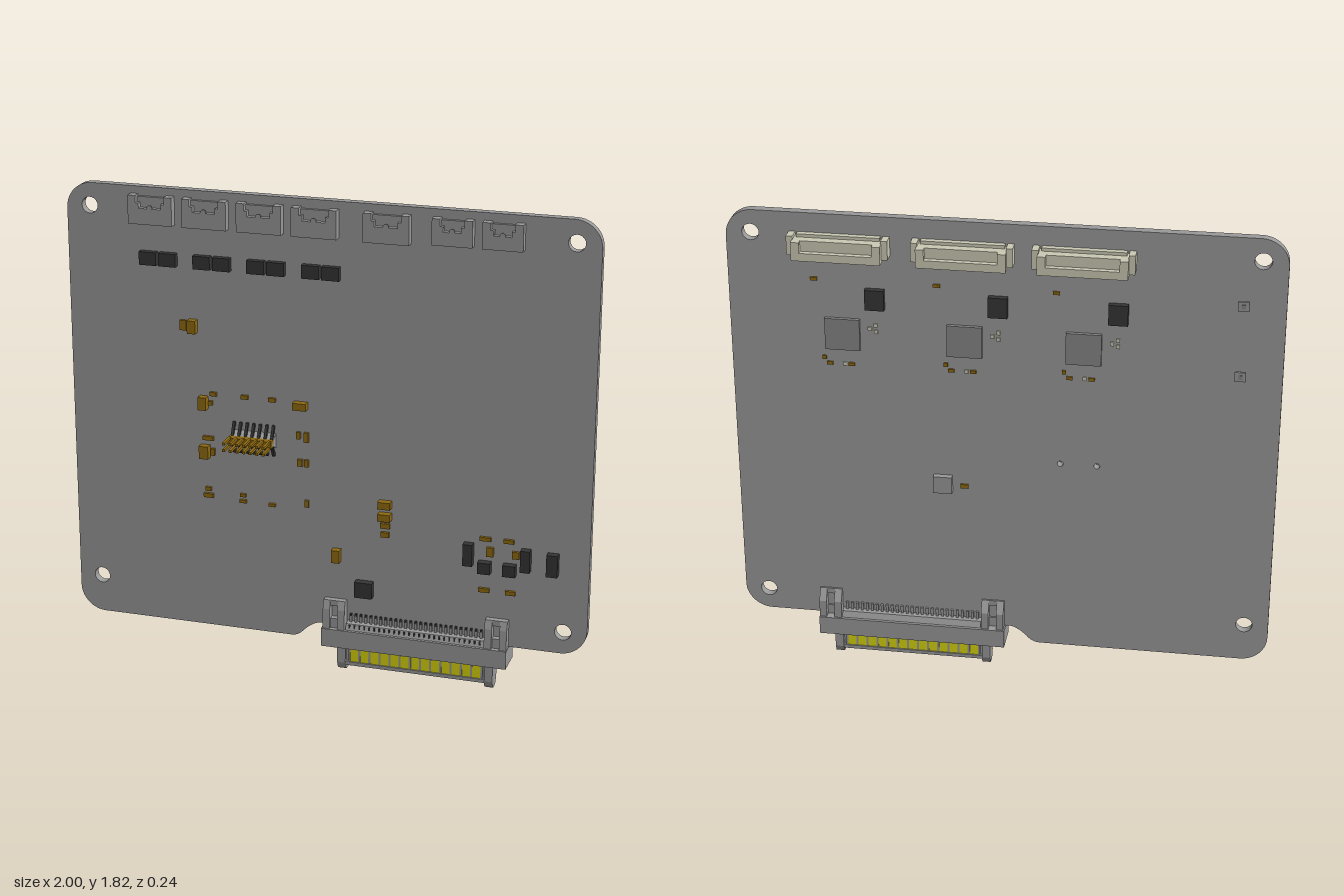
import * as THREE from 'three';

const mat = (name, color, side = THREE.FrontSide) => {
  const m = new THREE.MeshStandardMaterial({ color, side });
  m.name = name;
  return m;
};

export function createModel() {
  const grey = mat('board grey', 0x999999);
  const chipGrey = mat('chip grey', 0x868686);
  const dark = mat('dark plastic', 0x353535);
  const brown = mat('bronze', 0x8f6a10);
  const beige = mat('beige plastic', 0xcbc9b4);
  const yellow = mat('contact yellow', 0xd8d40c);
  const FRONT = -0.01, BACK = -0.043;
  const root = new THREE.Group();
  root.name = 'circuitBoard';

  const add = (name, geo, m, parent = root) => {
    const mesh = new THREE.Mesh(geo, m);
    mesh.name = name;
    parent.add(mesh);
    return mesh;
  };
  // box given by its limits
  const box = (name, m, x0, x1, y0, y1, z0, z1, parent = root) => {
    const mesh = add(name, new THREE.BoxGeometry(x1 - x0, y1 - y0, z1 - z0), m, parent);
    mesh.position.set((x0 + x1) / 2, (y0 + y1) / 2, (z0 + z1) / 2);
    return mesh;
  };
  // component on the front or the back face
  const onFront = (name, m, x, y, w, h, top) =>
    box(name, m, x - w / 2, x + w / 2, y - h / 2, y + h / 2, FRONT, top);
  const onBack = (name, m, x, y, w, h, top) =>
    box(name, m, x - w / 2, x + w / 2, y - h / 2, y + h / 2, top, BACK);
  const poly = pts => new THREE.Shape(pts.map(p => new THREE.Vector2(p[0], p[1])));
  const extrude = (shape, depth) =>
    new THREE.ExtrudeGeometry(shape, { depth, bevelEnabled: false, curveSegments: 10 });
  // profile in (z, y) swept along x
  const sweepX = (name, m, pts, x0, x1, parent = root) => {
    const mesh = add(name, extrude(poly(pts.map(([z, y]) => [-z, y])), x1 - x0), m, parent);
    mesh.rotation.y = Math.PI / 2;
    mesh.position.x = x0;
    return mesh;
  };

  // board with rounded corners, bottom step and holes
  const s = new THREE.Shape();
  s.moveTo(-0.9, 0.11);
  s.lineTo(-0.14, 0.11);
  s.quadraticCurveTo(-0.11, 0.11, -0.09, 0.135);
  s.quadraticCurveTo(-0.05, 0.175, -0.02, 0.175);
  s.lineTo(0.9, 0.175);
  s.absarc(0.9, 0.275, 0.1, -Math.PI / 2, 0, false);
  s.absarc(0.9, 1.72, 0.1, 0, Math.PI / 2, false);
  s.absarc(-0.9, 1.72, 0.1, Math.PI / 2, Math.PI, false);
  s.absarc(-0.9, 0.21, 0.1, Math.PI, Math.PI * 1.5, false);
  const holes = [[-0.91, 1.735, 0.031], [0.91, 1.735, 0.031], [-0.91, 0.26, 0.031],
    [0.91, 0.26, 0.031], [-0.21, 0.888, 0.011], [-0.345, 0.888, 0.011]];
  for (const [x, y, r] of holes) {
    s.holes.push(new THREE.Path().absarc(x, y, r, 0, Math.PI * 2, true));
  }
  add('board', extrude(s, FRONT - BACK), grey).position.z = BACK;

  // row of notched sockets along the top front edge
  const sockets = [[-0.663, 0.17], [-0.455, 0.17], [-0.246, 0.17], [-0.038, 0.17],
    [0.23, 0.17], [0.471, 0.148], [0.653, 0.148]];
  for (const [x, w] of sockets) {
    const g = new THREE.Group();
    g.name = 'frontSocket';
    g.position.x = x;
    root.add(g);
    const h = w / 2, n = h - 0.03, b = w > 0.15 ? 1.685 : 1.695;
    const shell = poly([[-h, b], [h, b], [h, 1.792], [n, 1.792], [n, 1.765], [n - 0.012, 1.765],
      [n - 0.012, 1.745], [-n + 0.012, 1.745], [-n + 0.012, 1.765], [-n, 1.765], [-n, 1.792], [-h, 1.792]]);
    add('socketShell', extrude(shell, 0.032), grey, g).position.z = FRONT;
    box('socketFloor', grey, -n, n, 1.74, 1.785, FRONT, 0.002, g);
    const key = add('socketKey', new THREE.CylinderGeometry(0.011, 0.011, 0.004, 12), grey, g);
    key.rotation.x = Math.PI / 2;
    key.position.set(0, 1.748, 0.022);
  }

  // dark chips on the front: x, y, width, height
  for (const c of [-0.642, -0.433, -0.225, -0.017]) {
    for (const d of [-0.038, 0.038]) onFront('driverChip', dark, c + d, 1.555, 0.066, 0.05, 0.014);
  }
  for (const [x, y, w, h] of [[0.55, 0.532, 0.036, 0.085], [0.766, 0.532, 0.036, 0.085],
    [0.866, 0.527, 0.042, 0.085], [0.612, 0.487, 0.048, 0.044], [0.706, 0.487, 0.048, 0.044],
    [0.152, 0.34, 0.068, 0.062]]) onFront('frontChip', dark, x, y, w, h, 0.02);

  // large and small bronze parts on the front
  for (const [x, y, w, h] of [[-0.513, 1.308, 0.032, 0.05], [-0.476, 1.014, 0.032, 0.05],
    [-0.473, 0.821, 0.036, 0.05], [-0.097, 1.04, 0.052, 0.028], [0.23, 0.688, 0.048, 0.028],
    [0.23, 0.64, 0.048, 0.028], [0.043, 0.463, 0.032, 0.05]]) {
    onFront('capacitor', brown, x, y, w, h, 0.019);
  }
  for (const [x, y, w, h] of [[-0.551, 1.308, 0.026, 0.038], [-0.438, 1.05, 0.027, 0.015],
    [-0.315, 1.05, 0.027, 0.015], [-0.208, 1.05, 0.027, 0.015], [-0.449, 1.014, 0.016, 0.016],
    [-0.46, 0.874, 0.042, 0.016], [-0.443, 0.821, 0.015, 0.027], [-0.463, 0.671, 0.022, 0.015],
    [-0.462, 0.645, 0.038, 0.016], [-0.325, 0.66, 0.022, 0.012], [-0.325, 0.636, 0.026, 0.012],
    [-0.21, 0.634, 0.026, 0.012], [-0.074, 0.655, 0.015, 0.027], [-0.106, 0.922, 0.015, 0.027],
    [-0.075, 0.917, 0.018, 0.038], [-0.1, 0.815, 0.02, 0.027], [-0.075, 0.815, 0.015, 0.027],
    [0.23, 0.602, 0.036, 0.02], [0.23, 0.567, 0.032, 0.02], [0.612, 0.596, 0.042, 0.015],
    [0.7, 0.596, 0.038, 0.015], [0.63, 0.547, 0.026, 0.036], [0.727, 0.545, 0.026, 0.028],
    [0.61, 0.393, 0.042, 0.016], [0.71, 0.393, 0.038, 0.016]]) {
    onFront('resistor', brown, x, y, w, h, 0.001);
  }

  // pin header: wedge body, legs on the board, two rows of pins
  const header = new THREE.Group();
  header.name = 'pinHeader';
  root.add(header);
  sweepX('headerWedge', grey, [[FRONT, 0.918], [FRONT, 0.862], [0.03, 0.882], [0.03, 0.898]], -0.365, -0.195, header);
  box('headerBar', brown, -0.365, -0.195, 0.876, 0.904, 0.022, 0.05, header);
  for (let i = 0; i < 7; i++) {
    const x = -0.357 + i * 0.0257;
    for (const sgn of [-1, 1]) {
      const y = v => 0.89 + sgn * v;
      const leg = [[FRONT, y(0.06)], [0, y(0.06)], [0.022, y(0.012)], [0.012, y(0.012)], [-0.004, y(0.045)], [FRONT, y(0.045)]];
      sweepX('headerLeg', dark, leg, x - 0.005, x + 0.005, header);
      box('headerPin', brown, x - 0.005, x + 0.005, y(0.013) - 0.005, y(0.013) + 0.005, 0.045, 0.118, header);
    }
  }

  // back: three beige connectors, each with its chips
  for (const x of [0.588, 0.142, -0.288]) {
    const g = new THREE.Group();
    g.name = 'backConnector';
    g.position.x = x;
    root.add(g);
    box('connectorBase', beige, -0.16, 0.16, 1.665, 1.735, -0.098, BACK, g);
    box('connectorLip', beige, -0.16, 0.16, 1.665, 1.695, -0.118, -0.098, g);
    box('connectorRearWall', beige, -0.15, 0.15, 1.735, 1.747, -0.065, BACK, g);
    for (const e of [-1, 1]) {
      const end = box('connectorEnd', beige, -0.015, 0.015, 1.665, 1.735, -0.118, -0.098, g);
      end.position.x = e * 0.145;
      const ear = box('connectorEar', beige, -0.012, 0.012, 1.675, 1.747, -0.09, BACK, g);
      ear.position.x = e * 0.17;
    }
    const c = x - 0.002;
    onBack('controllerChip', chipGrey, c, 1.36, 0.128, 0.122, -0.057);
    onBack('backChip', dark, c - 0.122, 1.505, 0.07, 0.078, -0.066);
    onBack('backResistor', brown, c + 0.1, 1.57, 0.025, 0.012, -0.05);
    for (const d of [0.05, -0.03]) onBack('backResistor', brown, c + d, 1.24, 0.022, 0.012, -0.05);
    onBack('backResistor', brown, c + 0.07, 1.262, 0.014, 0.014, -0.05);
    for (const [dx, y] of [[-0.122, 1.40], [-0.122, 1.375], [-0.1, 1.385], [-0.005, 1.24]]) {
      onBack('backPad', beige, c + dx, y, 0.014, 0.014, -0.048);
    }
  }
  onBack('sensorChip', grey, 0.225, 0.775, 0.07, 0.068, -0.066);
  onBack('sensorResistor', brown, 0.145, 0.768, 0.03, 0.016, -0.05);

  // two small switches near the side edge of the back
  for (const y of [1.572, 1.3]) {
    box('switchStem', chipGrey, -0.86, -0.84, y - 0.008, y + 0.008, -0.066, BACK);
    box('switchPlate', grey, -0.87, -0.83, y - 0.018, y + 0.018, -0.073, -0.064);
    box('switchButton', chipGrey, -0.858, -0.842, y - 0.008, y + 0.008, -0.076, -0.073);
  }

  // edge connector: housing, latch towers, comb of pins, plug tongue with contacts
  const edge = new THREE.Group();
  edge.name = 'edgeConnector';
  root.add(edge);
  const MID = 0.352;
  box('edgeHousing', grey, -0.008, 0.708, 0.1, 0.172, -0.083, 0.033, edge);
  for (const sgn of [-1, 1]) {
    const mx = (a, b) => sgn > 0 ? [MID + a, MID + b] : [MID - b, MID - a];
    for (const [a, b] of [[0.27, 0.298], [0.328, 0.355]]) {
      sweepX('latchTower', grey, [[FRONT, 0.17], [0.028, 0.17], [0.024, 0.25], [0.014, 0.284], [FRONT, 0.284]], ...mx(a, b), edge);
      sweepX('latchTowerBack', grey, [[BACK, 0.284], [-0.05, 0.284], [-0.076, 0.24], [-0.076, 0.17], [BACK, 0.17]], ...mx(a, b), edge);
    }
    for (const [y0, y1] of [[0.172, 0.21], [0.262, 0.284]]) {
      box('latchBridge', grey, ...mx(0.298, 0.328), y0, y1, FRONT, 0.014, edge);
      box('latchBridgeBack', grey, ...mx(0.298, 0.328), y0, y1, -0.05, BACK, edge);
    }
    sweepX('plugRail', grey, [[-0.056, 0.1], [-0.056, 0.03], [-0.045, 0.005], [-0.03, 0],
      [-0.008, 0], [0.003, 0.012], [0.01, 0.03], [0.01, 0.1]], ...mx(0.27, 0.302), edge);
  }
  sweepX('housingShoulder', grey, [[FRONT, 0.172], [0.022, 0.172], [0.012, 0.195], [FRONT, 0.2]], 0.085, 0.62, edge);
  sweepX('housingShoulderBack', grey, [[BACK, 0.2], [-0.062, 0.195], [-0.072, 0.172], [BACK, 0.172]], 0.085, 0.62, edge);
  box('plugCore', grey, 0.08, 0.63, 0.025, 0.1, -0.038, -0.008, edge);
  box('plugTip', grey, 0.08, 0.63, 0.02, 0.034, -0.05, 0.004, edge);
  for (const [z0, z1] of [[-0.008, -0.001], [-0.045, -0.038]]) {
    box('contactStrip', yellow, 0.095, 0.61, 0.034, 0.098, z0, z1, edge);
    for (let i = 0; i <= 13; i++) {
      const x = 0.095 + i * 0.0396;
      box('contactDivider', grey, x - 0.004, x + 0.004, 0.034, 0.1, z0 - 0.002, z1 + 0.002, edge);
    }
  }
  for (let i = 0; i < 27; i++) {
    const x = 0.1 + i * 0.0194;
    box('solderPin', grey, x - 0.005, x + 0.005, 0.17, 0.228, FRONT, -0.002, edge);
    box('solderPinTip', dark, x - 0.004, x + 0.004, 0.222, 0.231, FRONT, -0.001, edge);
    box('solderPinRoot', dark, x - 0.003, x + 0.003, 0.176, 0.192, 0.008, 0.019, edge);
    box('solderPinBack', grey, x - 0.005, x + 0.005, 0.17, 0.228, -0.051, BACK, edge);
  }
  return root;
}
